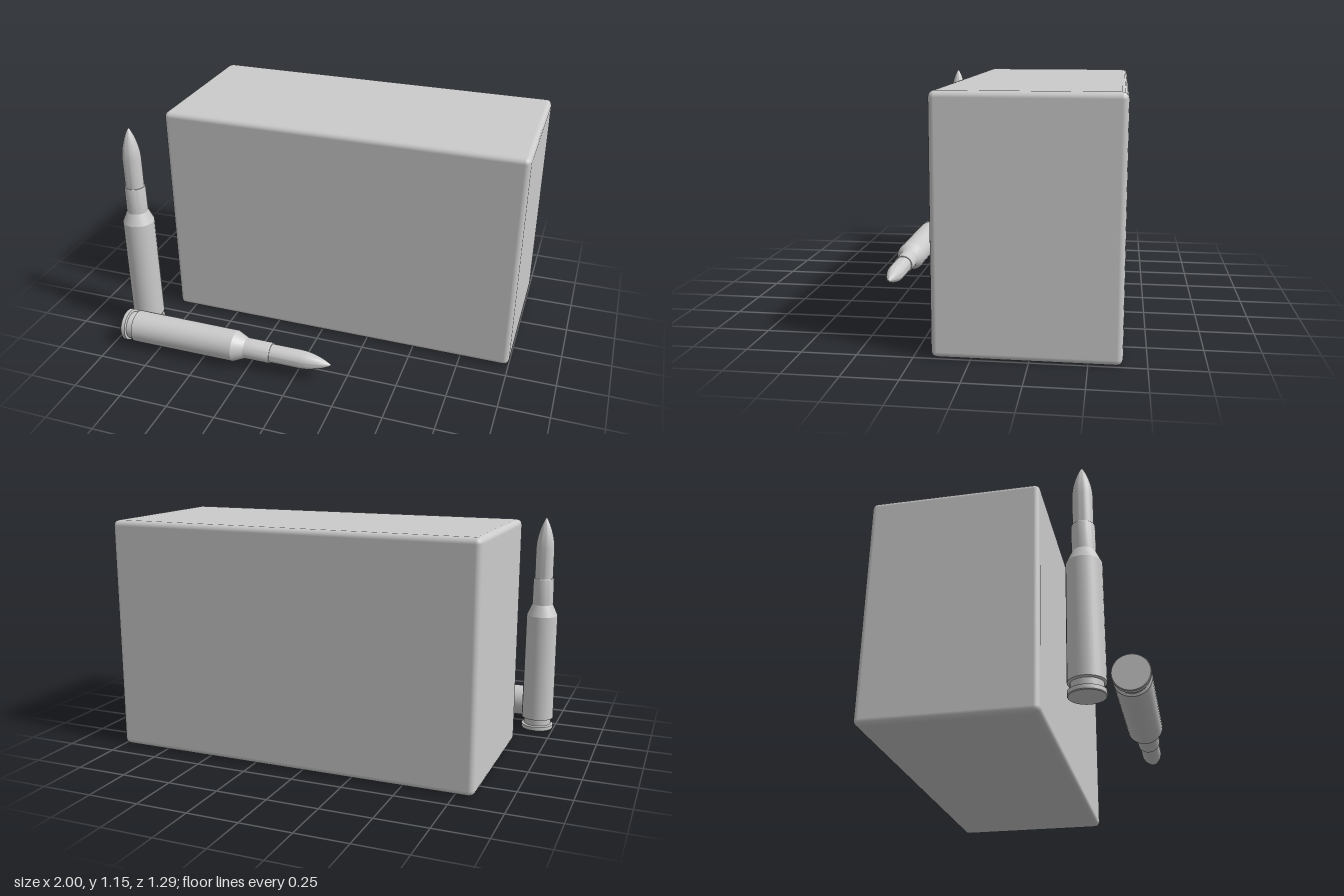
import * as THREE from 'three';
import { RoundedBoxGeometry } from 'three/addons/geometries/RoundedBoxGeometry.js';
import { toCreasedNormals } from 'three/addons/utils/BufferGeometryUtils.js';

const material = new THREE.MeshStandardMaterial({ color: 0xcccccc });

// Turned part from [radius, height] pairs, listed from the base upwards
function turned(name, profile) {
  const points = profile.map(([r, y]) => new THREE.Vector2(r, y));
  const mesh = new THREE.Mesh(toCreasedNormals(new THREE.LatheGeometry(points, 32), 0.4), material);
  mesh.name = name;
  return mesh;
}

// One cartridge standing on its base at y = 0, 1.125 long
function cartridge(name) {
  const group = new THREE.Group();
  group.name = name;
  group.add(
    // rim, extractor groove, body, shoulder and neck with a closed mouth
    turned('case', [
      [0, 0], [0.079, 0], [0.082, 0.004], [0.082, 0.023], [0.070, 0.027],
      [0.070, 0.057], [0.082, 0.061], [0.080, 0.617], [0.054, 0.675],
      [0.053, 0.807], [0.051, 0.812], [0.046, 0.812],
    ]),
    // straight shank and pointed nose
    turned('bullet', [
      [0.047, 0.80], [0.047, 0.97], [0.0445, 1.0], [0.039, 1.03],
      [0.031, 1.06], [0.0205, 1.09], [0.008, 1.116], [0.003, 1.123], [0, 1.125],
    ]),
  );
  return group;
}

export function createModel() {
  const model = new THREE.Group();
  model.name = 'cartridgeBoxSet';

  // Carton with softened edges
  const box = new THREE.Mesh(new RoundedBoxGeometry(1.84, 1.148, 0.822, 2, 0.028), material);
  box.name = 'ammoBox';
  box.position.set(0.08, 0.574, -0.236);
  model.add(box);

  const standing = cartridge('standingCartridge');
  standing.position.set(-0.918, 0.01, 0.385);
  model.add(standing);

  // Lying with its nose towards +x
  const lying = cartridge('lyingCartridge');
  lying.rotation.z = -Math.PI / 2;
  lying.position.set(-0.94, 0.095, 0.565);
  model.add(lying);

  return model;
}
